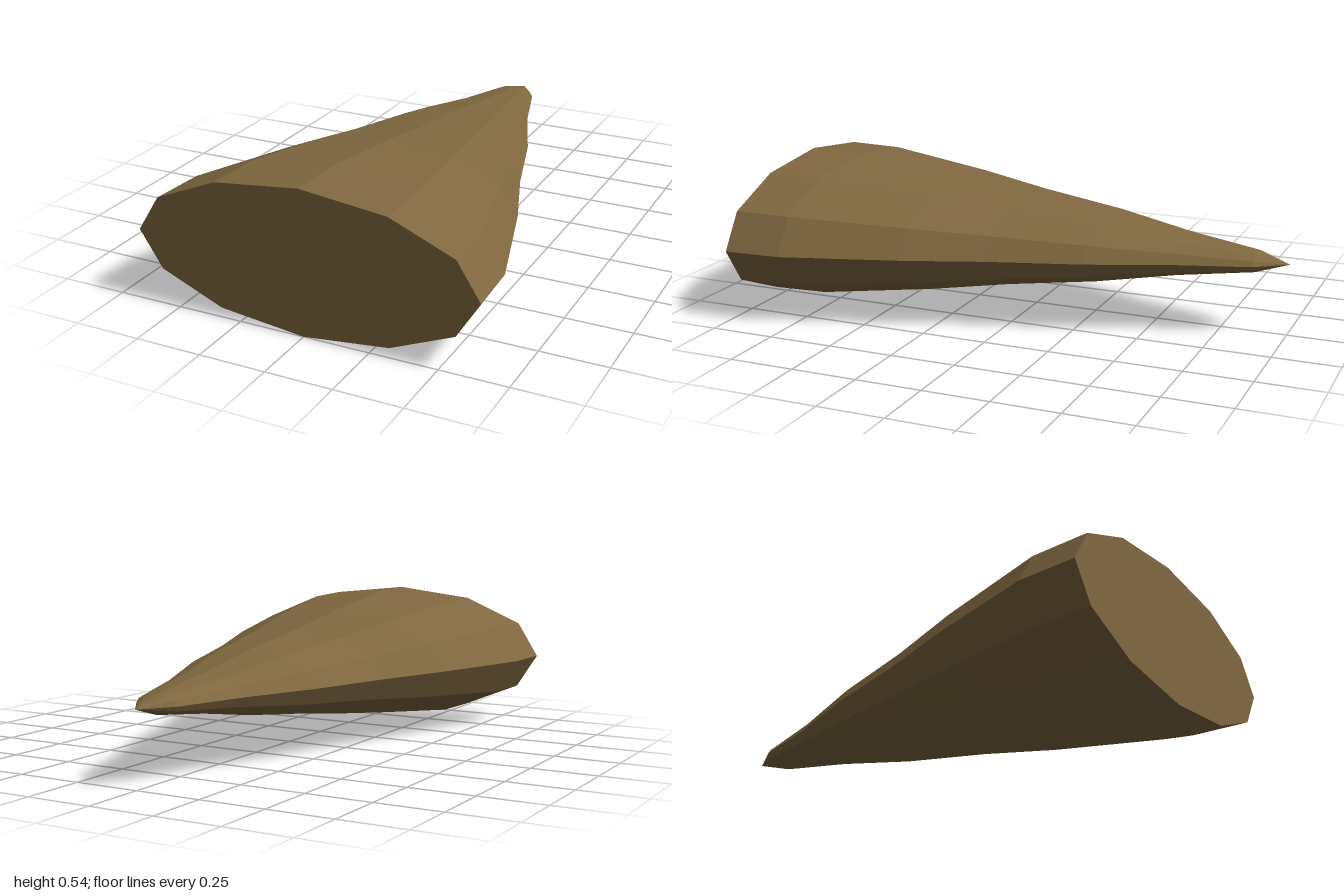
import * as THREE from 'three';

export function createModel() {
  const group = new THREE.Group();
  group.name = 'taperedSpike';

  // Profile [radius, z] from the closed front base to the pointed back tip
  const profile = [
    [0, 1], [0.648, 1], [0.637, 0.78], [0.505, 0.34], [0.395, 0.04],
    [0.292, -0.3], [0.172, -0.6], [0.085, -0.88], [0, -1],
  ].map(([r, z]) => new THREE.Vector2(r, -z));

  // Twelve-sided body, laid along z and flattened in height
  const geometry = new THREE.LatheGeometry(profile, 12);
  geometry.rotateX(-Math.PI / 2);
  geometry.scale(1, 0.42, 1);
  geometry.translate(0, 0.274, 0);

  const body = new THREE.Mesh(
    geometry,
    new THREE.MeshStandardMaterial({ color: 0x806840, flatShading: true })
  );
  body.name = 'spikeBody';
  group.add(body);
  return group;
}
